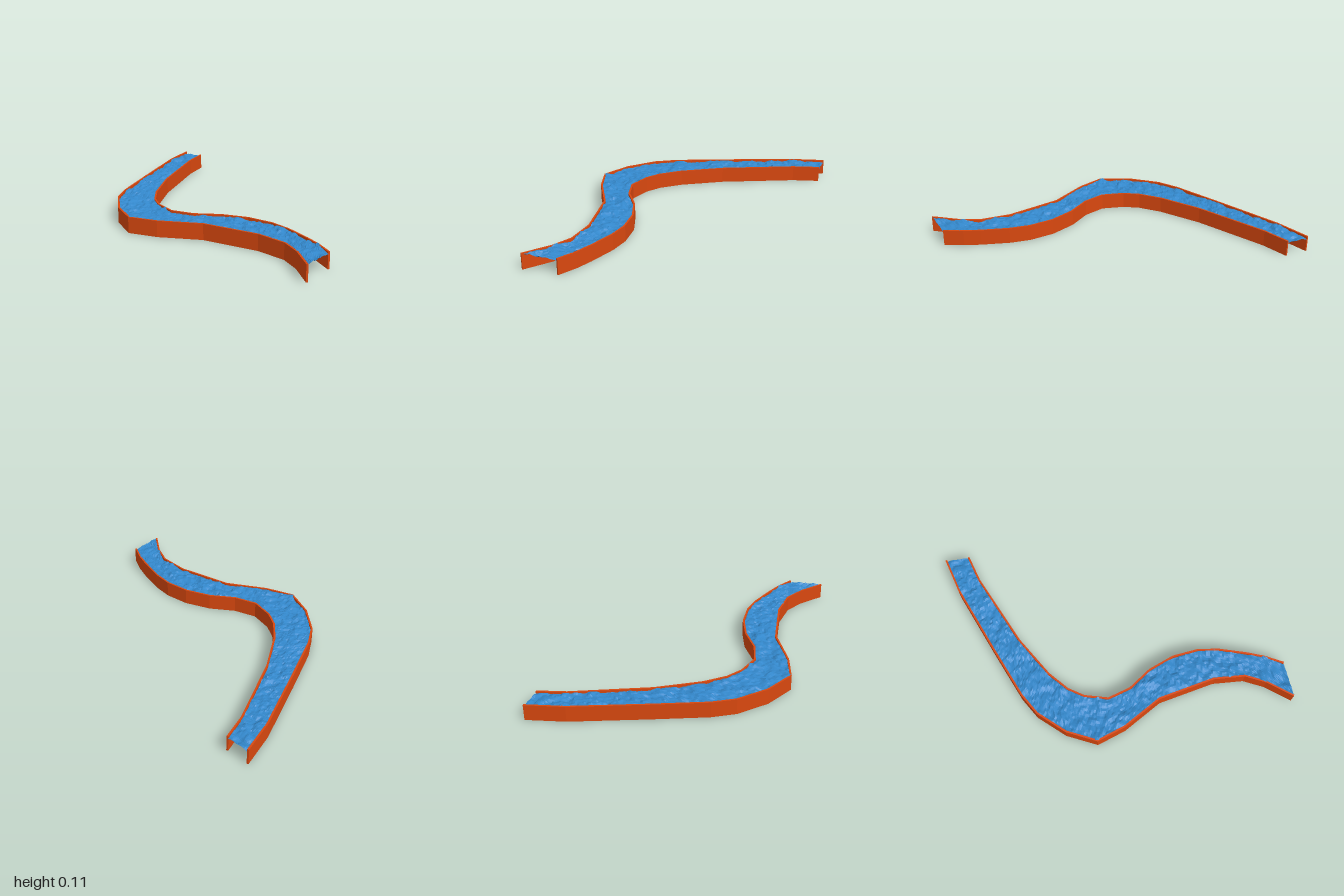
import * as THREE from 'three';

const WALL_HEIGHT = 0.1, WALL_THICKNESS = 0.011;
const LENGTH_CELLS = 210, WIDTH_CELLS = 16;

// Bank lines in plan as [x, z], from the back right end to the front end
const toPoints = list => list.map(([x, z]) => new THREE.Vector2(x, z));
const outerBank = toPoints([
  [0.67, -1], [0.44, -0.94], [0, -0.768], [-0.31, -0.642], [-0.44, -0.565], [-0.583, -0.41],
  [-0.673, -0.228], [-0.615, -0.05], [-0.48, 0.19], [-0.415, 0.54], [-0.43, 0.73],
  [-0.49, 0.85], [-0.605, 0.995]]);
const innerBank = toPoints([
  [0.67, -0.845], [0.5, -0.797], [0.05, -0.6], [-0.2, -0.45], [-0.315, -0.35], [-0.375, -0.26],
  [-0.415, -0.12], [-0.375, 0.02], [-0.28, 0.16], [-0.22, 0.32], [-0.205, 0.48],
  [-0.225, 0.61], [-0.28, 0.78], [-0.32, 0.88], [-0.38, 0.99]]);

// Mitred offset of a line; side +1 and -1 pick the direction
function offsetLine(points, distance, side) {
  const normal = (a, b) => {
    const d = b.clone().sub(a).normalize();
    return new THREE.Vector2(d.y, -d.x).multiplyScalar(side);
  };
  return points.map((p, i) => {
    const n1 = normal(points[Math.max(i - 1, 0)], points[Math.max(i, 1)]);
    const last = points.length - 1;
    const n2 = normal(points[Math.min(i, last - 1)], points[Math.min(i + 1, last)]);
    const m = n1.clone().add(n2).normalize();
    return p.clone().addScaledVector(m, distance / m.dot(n1));
  });
}

// Upright wall along one bank, thickened toward the water
function makeWall(points, side, material, name) {
  const outline = [...points, ...offsetLine(points, WALL_THICKNESS, side).reverse()];
  const shape = new THREE.Shape(outline.map(p => new THREE.Vector2(p.x, -p.y)));
  const geometry = new THREE.ExtrudeGeometry(shape, { depth: WALL_HEIGHT, bevelEnabled: false });
  geometry.rotateX(-Math.PI / 2);
  const wall = new THREE.Mesh(geometry, material);
  wall.name = name;
  return wall;
}

// Seeded value noise for the ripples, 0 to 1
function hash(x, y) {
  const s = Math.sin(x * 127.1 + y * 311.7 + 17.3) * 43758.5453;
  return s - Math.floor(s);
}
function noise(x, y) {
  const ix = Math.floor(x), iy = Math.floor(y);
  const ease = t => t * t * (3 - 2 * t);
  const fx = ease(x - ix), fy = ease(y - iy);
  const lerp = THREE.MathUtils.lerp;
  return lerp(lerp(hash(ix, iy), hash(ix + 1, iy), fx),
    lerp(hash(ix, iy + 1), hash(ix + 1, iy + 1), fx), fy);
}

// Choppy water sheet stretched between the two banks
function makeWater(material) {
  const path = points => {
    const curve = new THREE.CurvePath();
    for (let i = 1; i < points.length; i++) curve.add(new THREE.LineCurve(points[i - 1], points[i]));
    return curve;
  };
  const a = path(offsetLine(outerBank, WALL_THICKNESS / 2, 1));
  const b = path(offsetLine(innerBank, WALL_THICKNESS / 2, -1));
  const positions = [], indices = [], row = WIDTH_CELLS + 1;
  for (let i = 0; i <= LENGTH_CELLS; i++) {
    const pa = a.getPoint(i / LENGTH_CELLS), pb = b.getPoint(i / LENGTH_CELLS);
    for (let j = 0; j <= WIDTH_CELLS; j++) {
      const p = pa.clone().lerp(pb, j / WIDTH_CELLS);
      const broad = noise(p.x * 22 + 40, p.y * 22 + 40);
      const fine = noise(p.x * 55 + 90, p.y * 55 + 90);
      positions.push(p.x, 0.074 + 0.02 * broad + 0.013 * fine, p.y);
      if (i < LENGTH_CELLS && j < WIDTH_CELLS) {
        const k = i * row + j;
        indices.push(k, k + row, k + 1, k + 1, k + row, k + row + 1);
      }
    }
  }
  const geometry = new THREE.BufferGeometry();
  geometry.setAttribute('position', new THREE.Float32BufferAttribute(positions, 3));
  geometry.setIndex(indices);
  geometry.computeVertexNormals();
  const water = new THREE.Mesh(geometry, material);
  water.name = 'waterSurface';
  return water;
}

export function createModel() {
  const group = new THREE.Group();
  group.name = 'riverChannel';
  const wallMaterial = new THREE.MeshStandardMaterial({ color: 0xd9480f });
  const waterMaterial = new THREE.MeshStandardMaterial({
    color: 0x3388cc, flatShading: true, side: THREE.DoubleSide });
  group.add(
    makeWall(outerBank, 1, wallMaterial, 'outerBankWall'),
    makeWall(innerBank, -1, wallMaterial, 'innerBankWall'),
    makeWater(waterMaterial));
  return group;
}
